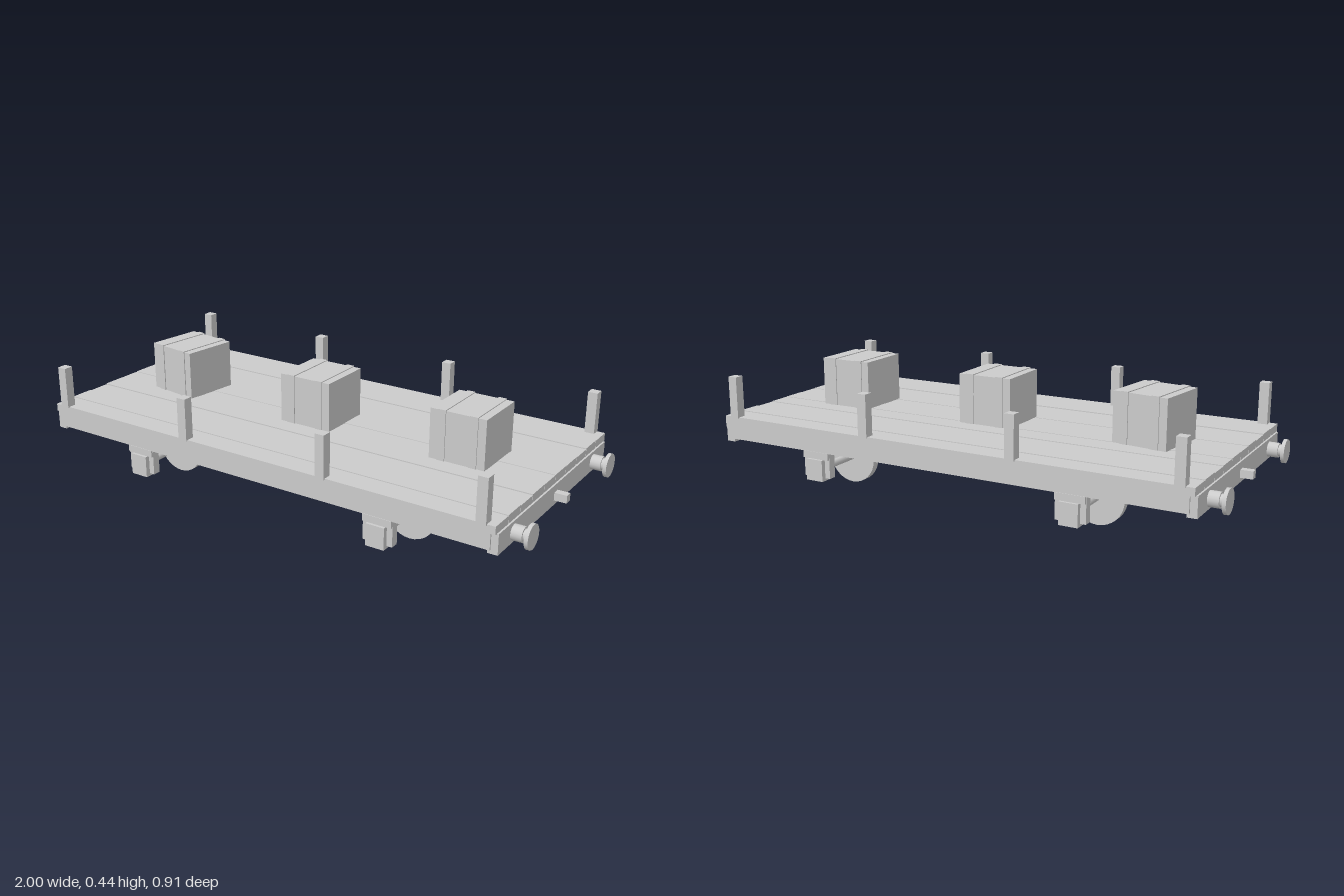
import * as THREE from 'three';

const material = new THREE.MeshStandardMaterial({ color: 0xcccccc });

export function createModel() {
  const model = new THREE.Group();
  model.name = 'flatWagon';

  const add = (name, geometry, x, y, z, parent = model) => {
    const mesh = new THREE.Mesh(geometry, material);
    mesh.name = name;
    mesh.position.set(x, y, z);
    parent.add(mesh);
    return mesh;
  };
  const box = (name, w, h, d, x, y, z, parent) =>
    add(name, new THREE.BoxGeometry(w, h, d), x, y, z, parent);
  const cylinder = (name, radius, length, axis, x, y, z, segments = 24) => {
    const geometry = new THREE.CylinderGeometry(radius, radius, length, segments);
    if (axis === 'x') geometry.rotateZ(Math.PI / 2);
    else geometry.rotateX(Math.PI / 2);
    return add(name, geometry, x, y, z);
  };

  // Deck of ten planks with slightly uneven tops
  const drops = [2, 0, 3, 1, 0, 1, 0, 3, 0, 2];
  const pitch = 0.0894;
  drops.forEach((drop, i) => {
    const h = 0.031 - drop * 0.001;
    box('deckPlank', 1.856, h, pitch - 0.002, 0, 0.229 + h / 2, (i - 4.5) * pitch);
  });

  // Underframe: side sills and end beams
  for (const s of [-1, 1]) {
    box('sideSill', 1.82, 0.06, 0.05, 0, 0.2, s * 0.416);
    box('endBeam', 0.035, 0.073, 0.87, s * 0.917, 0.1935, 0);
  }

  // Buffers and drawbar at each end
  for (const end of [-1, 1]) {
    for (const side of [-1, 1]) {
      const z = side * 0.325;
      cylinder('bufferSleeve', 0.027, 0.045, 'x', end * 0.95, 0.192, z, 16);
      cylinder('bufferRod', 0.021, 0.05, 'x', end * 0.97, 0.192, z, 16);
      cylinder('bufferHead', 0.043, 0.013, 'x', end * 0.9935, 0.192, z);
    }
    box('drawHook', 0.055, 0.028, 0.028, end * 0.952, 0.189, 0);
  }

  // Wheelsets with axle boxes held between guard legs
  for (const x of [-0.51, 0.51]) {
    cylinder('axle', 0.014, 0.84, 'z', x, 0.103, 0, 12);
    for (const side of [-1, 1]) {
      cylinder('wheel', 0.1, 0.03, 'z', x, 0.1, side * 0.207, 32);
      box('axleBox', 0.07, 0.08, 0.053, x, 0.105, side * 0.4265);
      for (const leg of [-1, 1])
        box('axleGuardLeg', 0.022, 0.1, 0.03, x + leg * 0.045, 0.125, side * 0.42);
      box('axleGuardPlate', 0.11, 0.026, 0.014, x, 0.158, side * 0.436);
    }
  }

  // Upright stakes along both sides
  for (const side of [-1, 1])
    for (const x of [-0.88, -0.293, 0.293, 0.88])
      box('stake', 0.036, 0.158, 0.036, x, 0.333, side * 0.433);

  // Crates with two thin straps each
  for (const [x, turn] of [[-0.62, -0.14], [-0.004, 0], [0.615, 0]]) {
    const crate = new THREE.Group();
    crate.name = 'crate';
    crate.position.set(x, 0.258, 0);
    crate.rotation.y = turn;
    model.add(crate);
    box('crateBody', 0.21, 0.184, 0.21, 0, 0.092, 0, crate);
    for (const s of [-1, 1])
      box('crateStrap', 0.03, 0.187, 0.217, s * 0.06, 0.0935, 0, crate);
  }

  return model;
}
